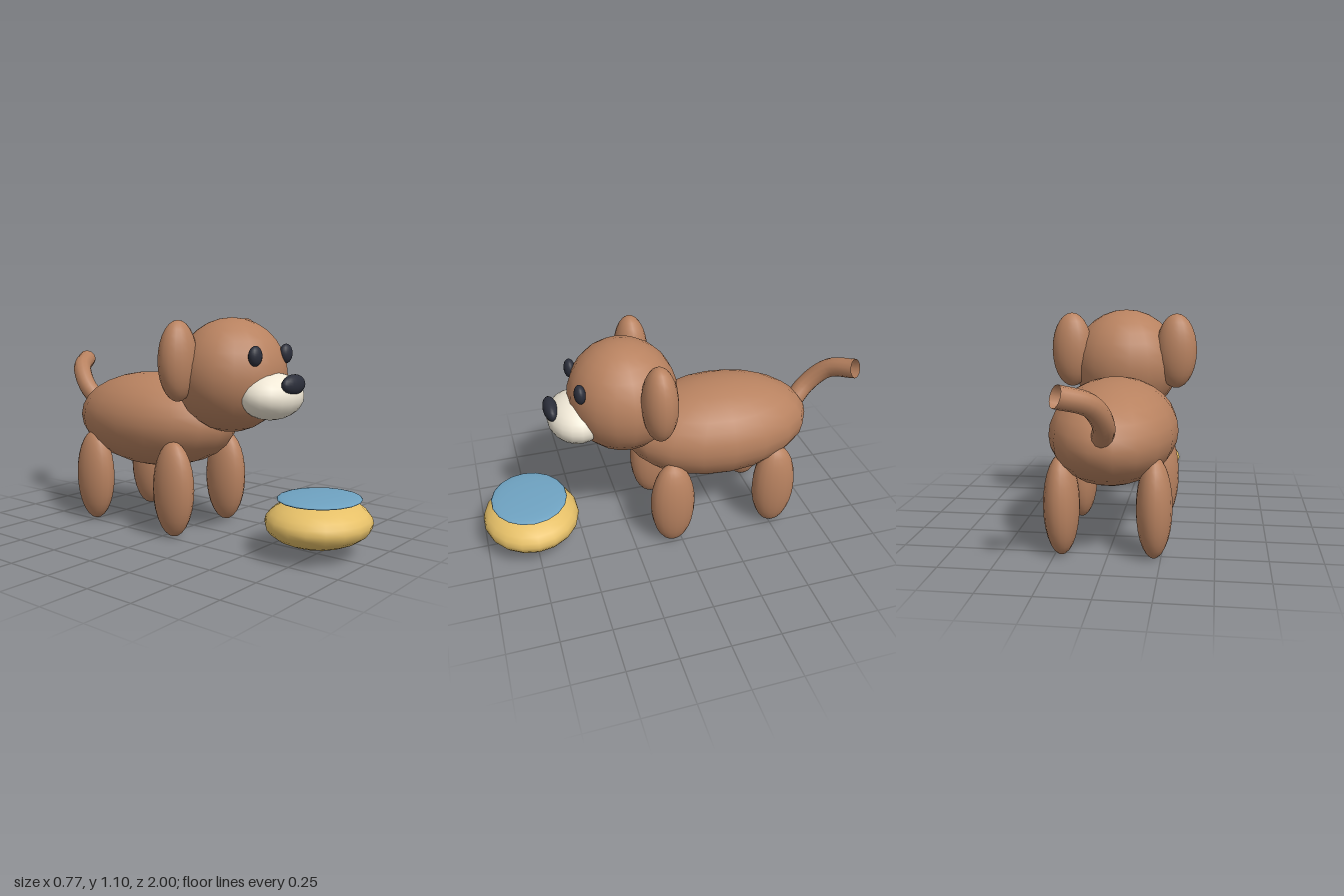
import * as THREE from 'three';

const paint = (color) => new THREE.MeshStandardMaterial({ color });

export function createModel() {
  const model = new THREE.Group();
  model.name = 'puppyWithBowl';
  const brown = paint(0xb88260);
  const cream = paint(0xf0e8d6);
  const dark = paint(0x2b2e3a);
  const yellow = paint(0xe6c068);
  const blue = paint(0x6fa3c2);

  // Ellipsoid with a centre and three radii
  const ball = (name, material, [x, y, z], [rx, ry, rz]) => {
    const geometry = new THREE.SphereGeometry(1, 18, 14).scale(rx, ry, rz);
    const mesh = new THREE.Mesh(geometry, material);
    mesh.name = name;
    mesh.position.set(x, y, z);
    model.add(mesh);
  };

  // Body and head
  ball('body', brown, [0, 0.555, -0.26], [0.312, 0.25, 0.49]);
  ball('head', brown, [0, 0.817, 0.242], [0.285, 0.283, 0.275]);
  ball('muzzle', cream, [0, 0.728, 0.48], [0.185, 0.114, 0.145]);
  ball('nose', dark, [0, 0.791, 0.602], [0.088, 0.049, 0.036]);

  // Mirrored parts
  for (const [side, s] of [['left', 1], ['right', -1]]) {
    ball(side + 'Eye', dark, [s * 0.13, 0.925, 0.474], [0.042, 0.048, 0.028]);
    ball(side + 'Ear', brown, [s * 0.276, 0.895, 0.127], [0.107, 0.195, 0.088]);
    ball(side + 'FrontLeg', brown, [s * 0.217, 0.245, 0.045], [0.085, 0.243, 0.116]);
    ball(side + 'BackLeg', brown, [s * 0.217, 0.245, -0.515], [0.085, 0.243, 0.116]);
  }

  // Tail: an open tube curling up and to the left
  const path = new THREE.CatmullRomCurve3([
    new THREE.Vector3(0, 0.6, -0.69),
    new THREE.Vector3(-0.02, 0.69, -0.775),
    new THREE.Vector3(0.025, 0.79, -0.87),
    new THREE.Vector3(0.147, 0.838, -0.957),
  ]);
  const tailMaterial = brown.clone();
  tailMaterial.side = THREE.DoubleSide;
  const tail = new THREE.Mesh(new THREE.TubeGeometry(path, 16, 0.05, 12), tailMaterial);
  tail.name = 'tail';
  model.add(tail);

  // Bowl with water
  ball('bowl', yellow, [0, 0.16, 0.755], [0.272, 0.115, 0.247]);
  ball('water', blue, [0, 0.271, 0.757], [0.215, 0.018, 0.194]);

  return model;
}
